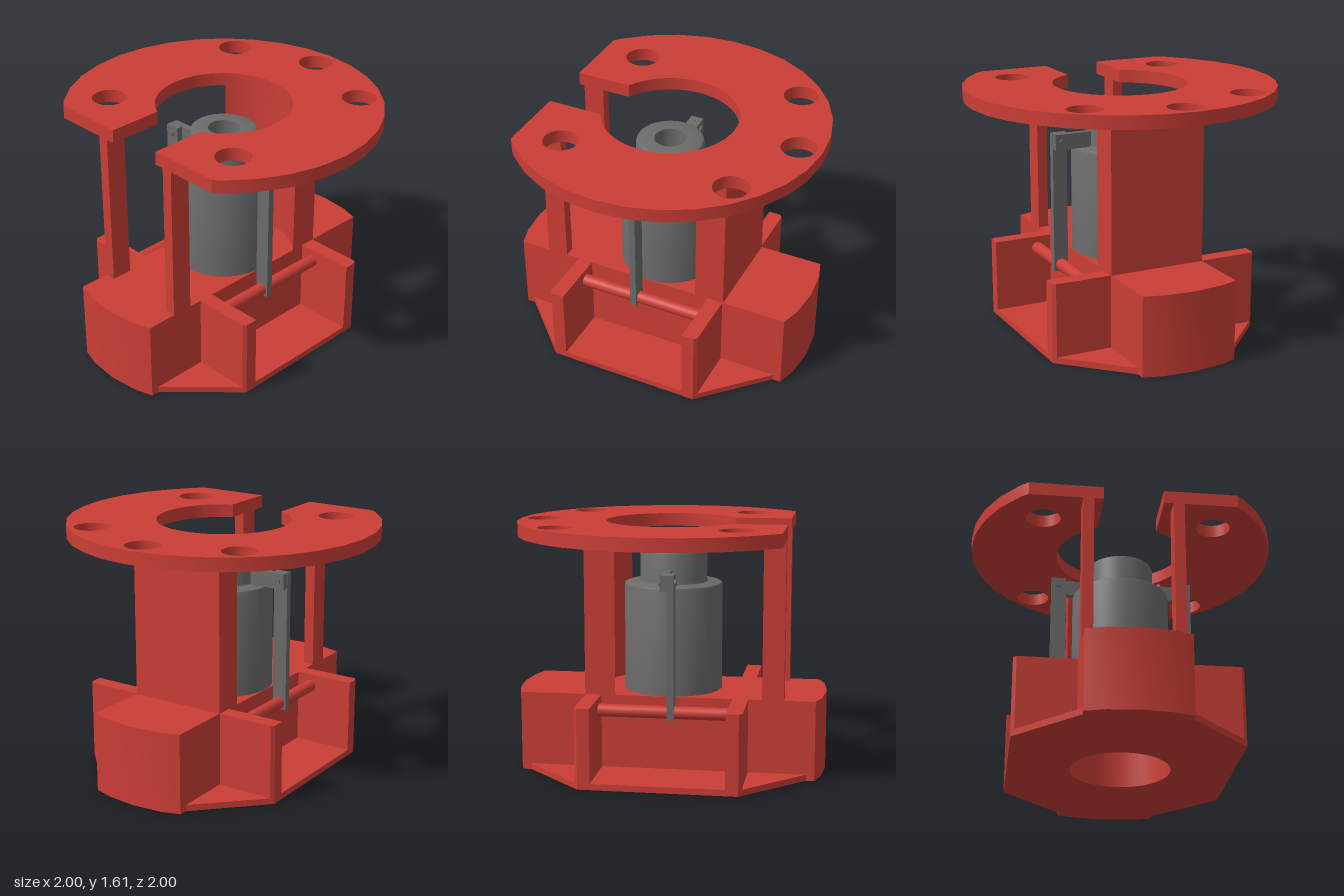
import * as THREE from 'three';
import { toCreasedNormals } from 'three/addons/utils/BufferGeometryUtils.js';

export function createModel() {
  const model = new THREE.Group();
  const red = new THREE.MeshStandardMaterial({ color: 0xcb3e36 });
  red.name = 'red plastic';
  const grey = new THREE.MeshStandardMaterial({ color: 0x6b6b6b });
  grey.name = 'grey metal';

  const add = (name, geometry, material) => {
    const mesh = new THREE.Mesh(geometry, material);
    mesh.name = name;
    model.add(mesh);
    return mesh;
  };
  // Box given by its limits on each axis
  const box = (name, material, x0, x1, y0, y1, z0, z1) =>
    add(name, new THREE.BoxGeometry(Math.abs(x1 - x0), y1 - y0, z1 - z0), material)
      .position.set((x0 + x1) / 2, (y0 + y1) / 2, (z0 + z1) / 2);
  // Plan outline in (x, z), extruded between two heights
  const slab = (name, shape, y0, y1) => {
    const g = new THREE.ExtrudeGeometry(shape, { depth: y1 - y0, bevelEnabled: false, curveSegments: 48 });
    g.rotateX(Math.PI / 2).translate(0, y1, 0);
    return add(name, toCreasedNormals(g, 0.3), red);
  };
  const outline = (points) => new THREE.Shape(points.map(([x, z]) => new THREE.Vector2(x, z)));
  const hole = (shape, x, z, r) => shape.holes.push(new THREE.Path().absarc(x, z, r, 0, Math.PI * 2, false));
  const rim = (i) => [Math.cos((i * Math.PI) / 16), Math.sin((i * Math.PI) / 16)];

  // Top flange: 32-sided disc with a flat front, a slot into the centre and five bolt holes
  const rimPoints = [];
  for (let i = 28; i >= 4; i--) rimPoints.push(rim(i + 16));
  rimPoints.shift();
  rimPoints.pop();
  const arc = [];
  const a0 = Math.acos(0.19 / 0.43);
  for (let i = 0; i <= 48; i++) {
    const a = Math.PI - a0 + (i / 48) * (Math.PI + 2 * a0);
    arc.push([0.43 * Math.cos(a), 0.43 * Math.sin(a)]);
  }
  // rim runs from the right front, round the back, to the left front
  const disc = [];
  for (let i = 3; i >= -19; i--) disc.push(rim(i));
  const flange = outline([
    [0.19, 0.745], [0.66, 0.745], [0.707, 0.707], ...disc, [-0.707, 0.707], [-0.66, 0.745],
    [-0.19, 0.745], ...arc,
  ]);
  [[0, -0.85], [0.55, -0.65], [-0.55, -0.65], [0.55, 0.465], [-0.55, 0.465]]
    .forEach(([x, z]) => hole(flange, x, z, 0.11));
  slab('topFlange', flange, 1.52, 1.605);

  // Base block with rounded ends and a central bore
  const block = outline([
    [0.32, -0.943], [0.32, 0.943], [0.195, 0.981], [0, 1], [-0.195, 0.981], [-0.32, 0.943],
    [-0.32, -0.943], [-0.195, -0.981], [0, -1], [0.195, -0.981],
  ]);
  hole(block, 0, 0, 0.317);
  slab('baseBlock', block, 0, 0.515);

  // Back wall, hollowed on its inner face
  const wall = outline([[-0.32, -0.525], [0.32, -0.525], [0.32, -0.33]]);
  const wallAngle = Math.atan2(-0.33, 0.32);
  wall.absarc(0, 0, Math.hypot(0.32, 0.33), wallAngle, -Math.PI - wallAngle, true);
  slab('backWall', wall, 0.515, 1.52);

  for (const s of [1, -1]) {
    // Side floor with chamfered corners
    slab('sideFloor', outline([
      [s * 0.32, -0.89], [s * 0.71, -0.5], [s * 0.71, 0.5], [s * 0.32, 0.89],
    ]), 0, 0.04);
    // Ribs that carry the pivot rod
    for (const t of [1, -1]) {
      slab('sideRib', outline([
        [s * 0.32, t * 0.42], [s * 0.71, t * 0.42], [s * 0.71, t * 0.5],
        [s * 0.69, t * 0.52], [s * 0.32, t * 0.52],
      ]), 0.04, 0.515);
    }
    const rod = add('pivotRod', new THREE.CylinderGeometry(0.04, 0.04, 0.84, 24), red);
    rod.rotation.x = Math.PI / 2;
    rod.position.set(s * 0.412, 0.437, 0);

    box('frontPost', red, s * 0.25, s * 0.32, 0.515, 1.52, 0.607, 0.745);

    // Lever, arm and pin
    box('lever', grey, s * 0.365, s * 0.462, 0.395, 1.31, 0.023, 0.065);
    box('arm', grey, s * 0.2, s * 0.46, 1.21, 1.31, -0.02, 0.022);
    const pin = add('armPin', new THREE.CylinderGeometry(0.02, 0.02, 0.108, 20), grey);
    pin.rotation.x = Math.PI / 2;
    pin.position.set(s * 0.415, 1.26, 0.024);
  }

  // Stepped hollow cylinder with softened edges
  const profile = [
    [0.1, 1.43], [0.1, 0.45], [0.316, 0.45], [0.316, 1.195], [0.312, 1.205], [0.302, 1.21],
    [0.232, 1.21], [0.22, 1.215], [0.216, 1.23], [0.216, 1.405], [0.209, 1.422], [0.192, 1.43], [0.1, 1.43],
  ].map(([r, y]) => new THREE.Vector2(r, y));
  const body = new THREE.LatheGeometry(profile.slice(1), 64);
  add('cylinderBody', toCreasedNormals(body, 0.7), grey);
  const bore = new THREE.CylinderGeometry(0.1, 0.1, 0.98, 48, 1, true);
  bore.scale(-1, 1, 1);
  const index = bore.index.array;
  bore.scale(-1, 1, 1);
  // Turn the bore faces inward
  for (let i = 0; i < index.length; i += 3) [index[i], index[i + 1]] = [index[i + 1], index[i]];
  bore.computeVertexNormals();
  add('cylinderBore', bore, grey).position.y = 0.94;

  return model;
}
